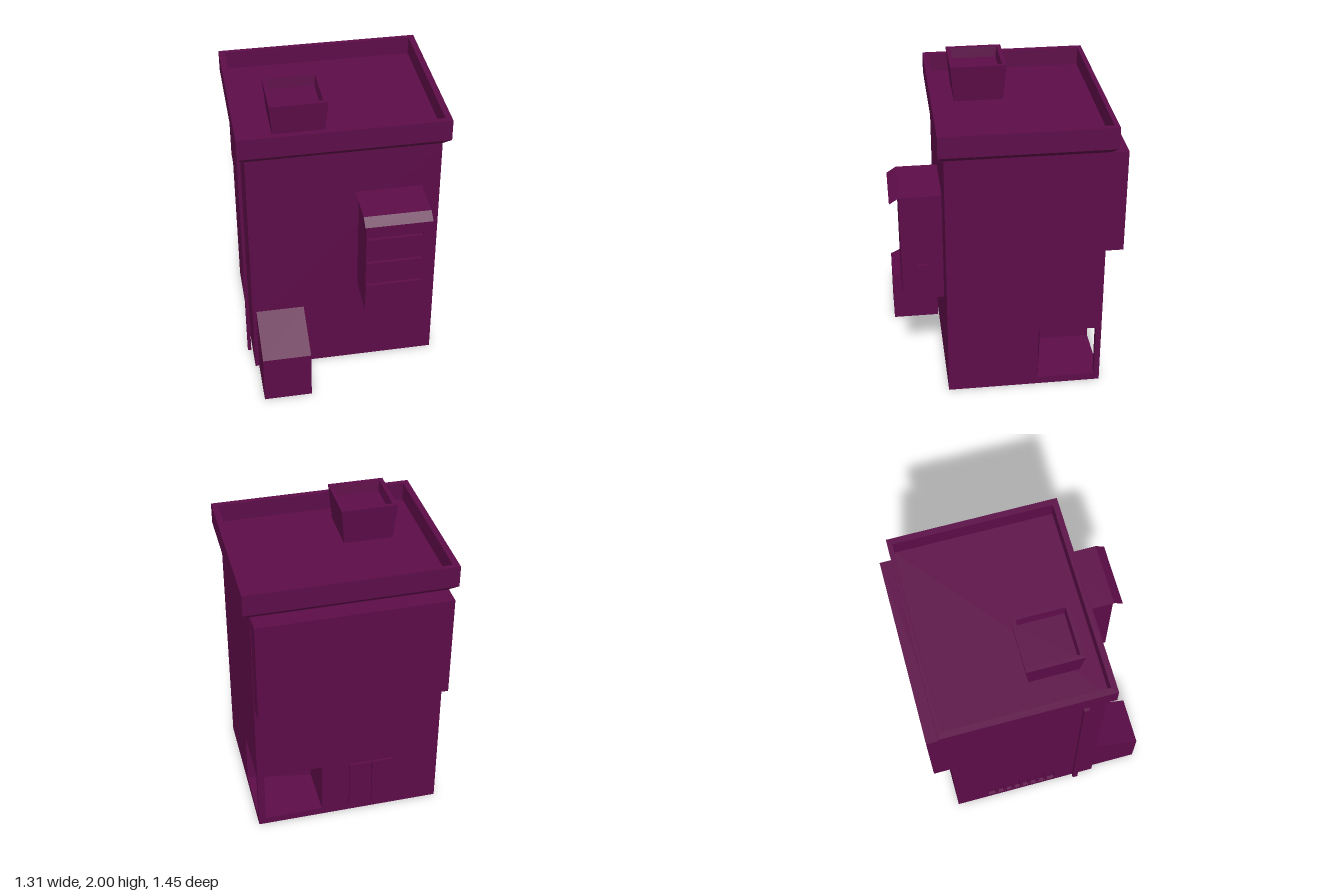
import * as THREE from 'three';

const material = new THREE.MeshStandardMaterial({ color: 0x5c0c48, flatShading: true });
const sheetMaterial = material.clone();
sheetMaterial.side = THREE.DoubleSide;

function add(parent, name, geometry, mat = material) {
  const mesh = new THREE.Mesh(geometry, mat);
  mesh.name = name;
  parent.add(mesh);
  return mesh;
}

// Box given by its extents on each axis
function box(x0, x1, y0, y1, z0, z1) {
  return new THREE.BoxGeometry(x1 - x0, y1 - y0, z1 - z0)
    .translate((x0 + x1) / 2, (y0 + y1) / 2, (z0 + z1) / 2);
}

const polygon = (pts) => new THREE.Shape(pts.map(([x, y]) => new THREE.Vector2(x, y)));
const rect = (x0, x1, y0, y1) => polygon([[x0, y0], [x1, y0], [x1, y1], [x0, y1]]);
const extrude = (shape, depth) => new THREE.ExtrudeGeometry(shape, { depth, bevelEnabled: false });

// Profile in (z, y), swept along x from x1 down to x0
function sideExtrude(shape, x0, x1) {
  return extrude(shape, x1 - x0).rotateY(-Math.PI / 2).translate(x1, 0, 0);
}

// Skin over rectangular rings [y, x0, x1, z0, z1], closed at both ends
function rectLoft(rings) {
  const pos = [];
  const corners = rings.map(([y, x0, x1, z0, z1]) =>
    [[x0, y, z1], [x1, y, z1], [x1, y, z0], [x0, y, z0]]);
  const quad = (a, b, c, d) => pos.push(...a, ...b, ...c, ...a, ...c, ...d);
  for (let i = 0; i + 1 < corners.length; i++) {
    for (let k = 0; k < 4; k++) {
      const n = (k + 1) % 4;
      quad(corners[i][k], corners[i][n], corners[i + 1][n], corners[i + 1][k]);
    }
  }
  const [first, last] = [corners[0], corners[corners.length - 1]];
  quad(first[3], first[2], first[1], first[0]);
  quad(last[0], last[1], last[2], last[3]);
  const g = new THREE.BufferGeometry();
  g.setAttribute('position', new THREE.Float32BufferAttribute(pos, 3));
  g.computeVertexNormals();
  return g;
}

export function createModel() {
  const model = new THREE.Group();
  model.name = 'building';

  // Main block, with an open corner porch at the back
  const body = new THREE.Group();
  body.name = 'body';
  model.add(body);
  add(body, 'base', box(-0.59, 0.61, 0, 0.05, -0.615, 0.39));
  const plan = polygon([[-0.59, -0.39], [0.61, -0.39], [0.61, 0.2],
    [0.18, 0.28], [0.18, 0.615], [-0.59, 0.615]]);
  add(body, 'groundFloor', extrude(plan, 0.37).rotateX(-Math.PI / 2).translate(0, 0.05, 0));
  add(body, 'porchPost', box(0.565, 0.61, 0.05, 0.42, -0.615, -0.58));
  add(body, 'upperFloors', box(-0.59, 0.61, 0.42, 1.7, -0.615, 0.39));

  // Side wall with a recessed vent
  const sideWall = rect(-0.615, 0.39, 0, 1.7);
  sideWall.holes.push(rect(-0.385, 0.1, 0.04, 0.23));
  add(body, 'sideWall', sideExtrude(sideWall, -0.61, -0.59));
  for (let i = 0; i < 7; i++) {
    const z = -0.385 + 0.485 * (i + 1) / 8;
    add(body, 'ventSlat', box(-0.608, -0.588, 0.04, 0.23, z - 0.012, z + 0.012));
  }

  // Overhanging rear volume
  add(model, 'rearOverhang', box(-0.61, 0.605, 1.005, 1.695, -0.73, -0.61));

  // Roof with parapet
  add(model, 'roofParapet', rectLoft([
    [1.7, -0.61, 0.61, -0.615, 0.39],
    [1.74, -0.657, 0.657, -0.657, 0.427],
    [1.88, -0.657, 0.657, -0.657, 0.427],
    [1.88, -0.617, 0.617, -0.627, 0.39],
    [1.76, -0.617, 0.617, -0.627, 0.39],
  ]));

  // Flared rooftop vent
  add(model, 'roofVent', rectLoft([
    [1.76, -0.418, -0.102, -0.053, 0.263],
    [2, -0.44, -0.08, -0.075, 0.285],
    [2, -0.412, -0.108, -0.047, 0.257],
    [1.93, -0.405, -0.115, -0.04, 0.25],
  ]));

  // Lean-to at the front
  const leanTo = polygon([[0.397, 0], [0.71, 0], [0.71, 0.35], [0.397, 0.5]]);
  add(model, 'leanTo', sideExtrude(leanTo, -0.585, -0.27));

  // Wall unit with grooved front
  const unit = new THREE.Group();
  unit.name = 'wallUnit';
  model.add(unit);
  add(unit, 'cabinet', box(0.09, 0.47, 0.65, 1.4, 0.397, 0.64));
  const front = rect(0.09, 0.47, 0.65, 1.4);
  for (const y of [0.85, 1.03, 1.215]) front.holes.push(rect(0.097, 0.45, y, y + 0.018));
  add(unit, 'groovedFront', extrude(front, 0.02).translate(0, 0, 0.64));
  add(unit, 'switchBox', box(0.47, 0.486, 0.812, 0.905, 0.485, 0.57));

  // Thin canopy: a flat sheet bent down at its front edge
  const canopy = new THREE.PlaneGeometry(0.42, 1, 1, 2);
  const cp = canopy.attributes.position;
  const bend = [[1.402, 0.397], [1.402, 0.66], [1.362, 0.72]];
  for (let i = 0; i < cp.count; i++) {
    const [y, z] = bend[Math.floor(i / 2)];
    cp.setXYZ(i, cp.getX(i) + 0.28, y, z);
  }
  canopy.computeVertexNormals();
  add(unit, 'canopy', canopy, sheetMaterial);

  // Double door at the back
  for (const x of [-0.305, -0.151]) {
    add(model, 'doorLeaf', box(x, x + 0.146, 0.055, 0.41, -0.63, -0.61));
  }

  // Drain strip standing off the side wall
  add(model, 'drainStrip', box(-0.646, -0.624, 0.04, 1.63, 0.235, 0.27));

  return model;
}
